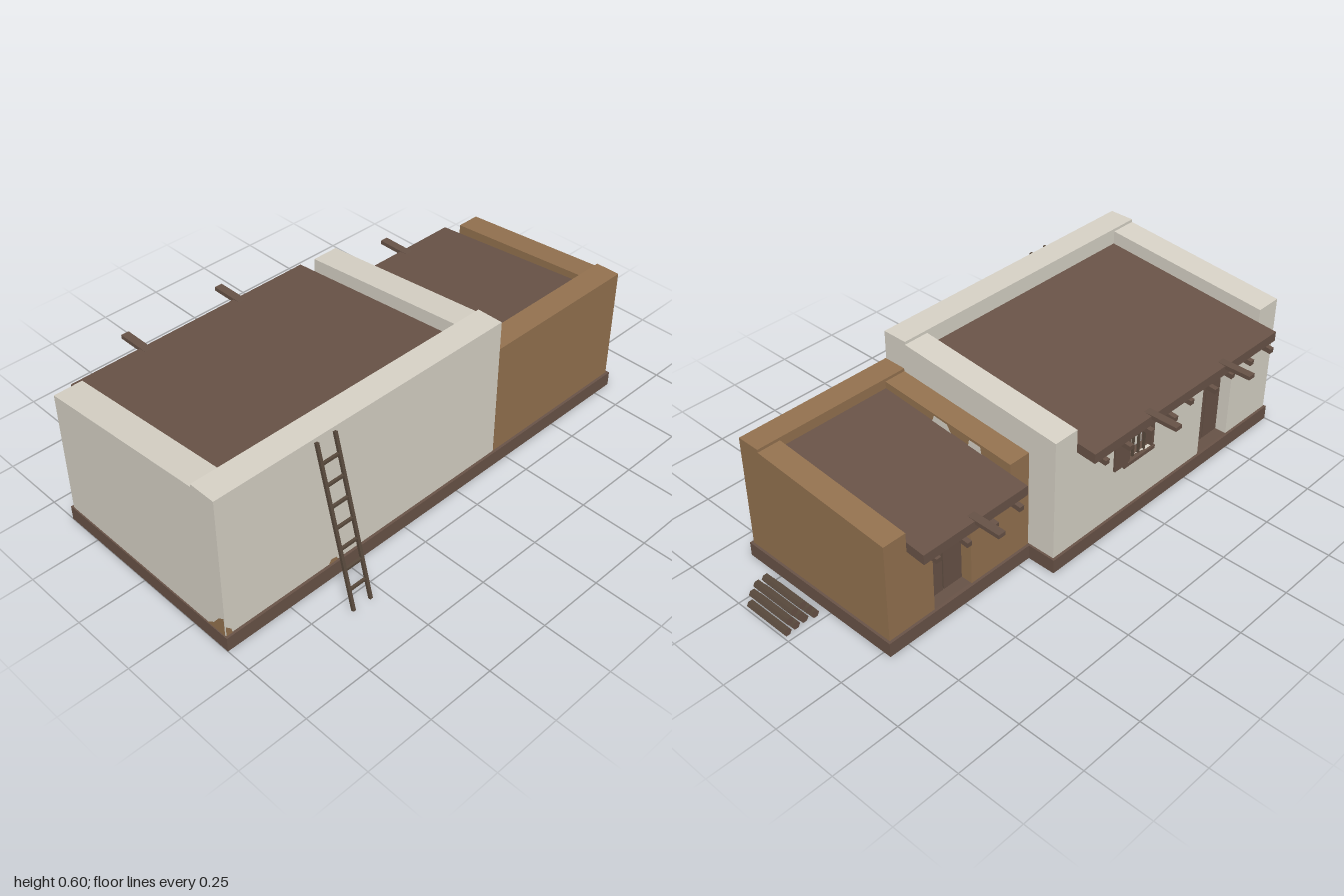
import * as THREE from 'three';

const mat = (name, color, side = THREE.FrontSide) => {
  const m = new THREE.MeshStandardMaterial({ color, side });
  m.name = name;
  return m;
};

export function createModel() {
  const model = new THREE.Group();
  model.name = 'adobeHouse';
  const plaster = mat('pale plaster', 0xd9d4c8, THREE.DoubleSide);
  const adobe = mat('brown adobe', 0x957350, THREE.DoubleSide);
  const earth = mat('dark earth', 0x6a5448);
  const wood = mat('dark wood', 0x594a3d);
  const beamWood = mat('beam wood', 0x685347);

  const add = (parent, name, geometry, material) => {
    const mesh = new THREE.Mesh(geometry, material);
    mesh.name = name;
    parent.add(mesh);
    return mesh;
  };
  // Box given by its limits on each axis
  const box = (parent, name, material, x0, x1, y0, y1, z0, z1) => {
    const mesh = add(parent, name, new THREE.BoxGeometry(x1 - x0, y1 - y0, z1 - z0), material);
    mesh.position.set((x0 + x1) / 2, (y0 + y1) / 2, (z0 + z1) / 2);
    return mesh;
  };
  // Side profile of [z, y] points, extruded from x0 to x1
  const prism = (parent, name, material, points, x0, x1) => {
    const shape = new THREE.Shape(points.map(([z, y]) => new THREE.Vector2(-z, y)));
    const g = new THREE.ExtrudeGeometry(shape, { depth: x1 - x0, bevelEnabled: false });
    g.rotateY(Math.PI / 2).translate(x0, 0, 0);
    return add(parent, name, g, material);
  };
  // Flat-sided pole between two points; four sides make a squared timber
  const pole = (parent, name, material, a, b, r, sides = 4) => {
    const p = new THREE.Vector3(...a), q = new THREE.Vector3(...b);
    const g = new THREE.CylinderGeometry(r, r, p.distanceTo(q), sides, 1, false, Math.PI / sides).toNonIndexed();
    g.clearGroups();
    g.addGroup(0, sides * 6, 0);
    g.addGroup(sides * 6, sides * 6, 1);
    g.computeVertexNormals();
    const mesh = add(parent, name, g, material);
    mesh.position.copy(p).add(q).multiplyScalar(0.5);
    mesh.quaternion.setFromUnitVectors(new THREE.Vector3(0, 1, 0), q.sub(p).normalize());
    return mesh;
  };

  const BASE = 0.055, FRONT = 0.395, T = 0.012, RING = 0.014;

  function house(o) {
    const g = new THREE.Group();
    g.name = o.name;
    model.add(g);
    const { x0, x1, back, top, wall } = o;
    const roofY = z => o.roofBack + (z - o.eave) * 0.093;
    const crown = [[FRONT, top], [o.inner, top], [o.inner, top - 0.011], [back, o.backTop]];

    // Foundation ring
    const b = back - 0.01, f = FRONT + 0.01;
    box(g, 'foundationFront', earth, o.fx0, o.fx1, 0, BASE, f - RING, f);
    box(g, 'foundationBack', earth, o.fx0, o.fx1, 0, BASE, b, b + RING);
    box(g, 'foundationRight', earth, o.fx0, o.fx0 + RING, 0, BASE, b, f);
    box(g, 'foundationLeft', earth, o.fx1 - RING, o.fx1, 0, BASE, b, f);

    // Front wall and side walls with sloping tops
    box(g, 'frontWall', wall, x0, x1, BASE, top, FRONT - T, FRONT);
    const side = [[FRONT, BASE], ...crown, [back, BASE]];
    o.sideWalls.forEach(x => prism(g, 'sideWall', wall, side, x, x + T));

    // Thick parapets around the roof
    const low = [[back, roofY(back) - 0.035], [FRONT, roofY(FRONT) - 0.035]];
    prism(g, 'sideParapet', wall, [...crown, ...low], x0, o.rx0);
    prism(g, 'sideParapet', wall, [...crown, ...low], o.rx1, x1);
    box(g, 'frontParapet', wall, o.rx0, o.rx1, roofY(o.inner) - 0.035, top, o.inner, FRONT);

    // Back wall with door notch and optional window hole
    const [d0, d1, dh] = o.door;
    const wt = roofY(back) - 0.03;
    const shape = new THREE.Shape([[x0, BASE], [d0, BASE], [d0, dh], [d1, dh], [d1, BASE],
      [x1, BASE], [x1, wt], [x0, wt]].map(p => new THREE.Vector2(...p)));
    if (o.window) {
      const [w0, w1, h0, h1] = o.window;
      shape.holes.push(new THREE.Path([[w0, h0], [w0, h1], [w1, h1], [w1, h0]].map(p => new THREE.Vector2(...p))));
    }
    const bw = new THREE.ExtrudeGeometry(shape, { depth: T, bevelEnabled: false });
    add(g, 'backWall', bw.translate(0, 0, back), wall);

    // Door recess with plank door and threshold
    const mid = (d0 + d1) / 2, leaf = back + 0.045, deep = back + 0.057;
    [d0 - 0.01, d1].forEach(x => box(g, 'doorJamb', wall, x, x + 0.01, BASE, dh, back + T, deep));
    box(g, 'doorHead', wall, d0 - 0.01, d1 + 0.01, dh, dh + 0.01, back + T, deep);
    box(g, 'threshold', beamWood, d0, d1, BASE - 0.01, BASE, back, deep);
    box(g, 'doorLeaf', beamWood, d0, mid - 0.003, BASE, dh, leaf, deep);
    box(g, 'doorLeaf', beamWood, mid + 0.003, d1, BASE, dh, leaf, deep);
    box(g, 'doorGap', wood, mid - 0.003, mid + 0.003, BASE, dh, leaf + 0.004, deep);

    // Sloping earth roof, rafters and water spouts
    prism(g, 'roof', earth, [[o.inner, roofY(o.inner)], [o.eave, o.roofBack],
      [o.eave, o.roofBack - 0.037], [o.inner, roofY(o.inner) - 0.037]], o.rx0, o.rx1);
    o.rafters.forEach(([x, z]) => pole(g, 'rafter', beamWood,
      [x, roofY(0.28) - 0.048, 0.28], [x, roofY(z) - 0.048, z], 0.0135));
    o.spouts.forEach(x => box(g, 'spout', beamWood, x - 0.015, x + 0.015,
      o.roofBack - 0.012, o.roofBack + 0.003, o.eave - 0.1, o.eave + 0.04));
    return g;
  }

  const main = house({
    name: 'mainHouse', x0: -0.995, x1: 0.192, fx0: -1, fx1: 0.2, back: -0.38, top: 0.598, backTop: 0.524,
    inner: 0.295, rx0: -0.89, rx1: 0.09, eave: -0.455, roofBack: 0.466, wall: plaster,
    sideWalls: [-0.995, 0.192 - T], door: [-0.755, -0.585, 0.385], window: [-0.3, -0.18, 0.25, 0.36],
    rafters: [-0.475, -0.47, -0.47, -0.482, -0.464, -0.482, -0.472, -0.475, -0.468].map((z, i) => [-0.845 + i * 0.111, z]),
    spouts: [-0.605, -0.205],
  });
  const annex = house({
    name: 'sideHouse', x0: 0.194, x1: 0.817, fx0: 0.195, fx1: 0.826, back: -0.27, top: 0.49, backTop: 0.434,
    inner: 0.303, rx0: 0.28, rx1: 0.728, eave: -0.345, roofBack: 0.392, wall: adobe,
    sideWalls: [0.817 - T], door: [0.46, 0.625, 0.32],
    rafters: [[0.33, -0.367], [0.443, -0.367], [0.56, -0.367], [0.675, -0.352]],
    spouts: [0.5],
  });
  // Pale lining inside the side house
  box(annex, 'innerLining', plaster, 0.2, 0.805, BASE, 0.4, FRONT - T - 0.004, FRONT - T);

  // Barred window with an open shutter and a pale recess
  const win = new THREE.Group();
  win.name = 'window';
  main.add(win);
  box(win, 'windowRecess', plaster, -0.3, -0.18, 0.25, 0.36, -0.338, -0.33);
  for (let i = 0; i < 3; i++) {
    const x = -0.27 + i * 0.03;
    pole(win, 'windowBar', wood, [x, 0.25, -0.372], [x, 0.36, -0.372], 0.0055);
  }
  box(win, 'windowSill', beamWood, -0.312, -0.15, 0.236, 0.25, -0.388, -0.34);
  box(win, 'windowLintel', beamWood, -0.312, -0.168, 0.355, 0.367, -0.384, -0.34);
  [-0.31, -0.182].forEach(x => box(win, 'windowJamb', beamWood, x, x + 0.012, 0.25, 0.357, -0.384, -0.34));
  box(win, 'shutter', beamWood, -0.168, -0.1, 0.25, 0.36, -0.388, -0.38);

  // Worn patches: [u, y] outlines laid on a wall
  const patch = (points, place, material = adobe) => {
    const g = new THREE.ShapeGeometry(new THREE.Shape(points.map(p => new THREE.Vector2(...p))));
    place(add(main, 'wornPatch', g, material));
  };
  const onFront = m => { m.position.z = FRONT + 0.002; };
  // A quarter turn lays the outline along z
  const onSide = x => m => { m.rotation.y = -Math.PI / 2; m.position.x = x; };
  patch([[-0.994, BASE], [-0.97, BASE], [-0.975, 0.075], [-0.994, 0.095]], onFront);
  patch([[-0.58, BASE], [-0.54, BASE], [-0.548, 0.07], [-0.57, 0.073]], onFront);
  [-0.997, -0.995 + T + 0.002].forEach(x =>
    patch([[0.31, BASE], [0.394, BASE], [0.394, 0.13], [0.37, 0.115], [0.345, 0.08]], onSide(x)));
  patch([[-0.02, 0.1], [0.02, 0.12], [0.06, 0.06], [0.12, 0.08], [0.17, 0.12], [0.14, 0.17],
    [0.06, 0.17], [0.03, 0.21], [-0.03, 0.2]], onSide(0.197));
  patch([[0.24, 0.35], [0.29, 0.34], [0.31, 0.38], [0.26, 0.4]], onSide(0.197));
  patch([[-0.01, 0.42], [0.08, 0.43], [0.07, 0.456], [0.01, 0.45]], onSide(0.282), plaster);
  patch([[-0.145, 0.41], [-0.085, 0.415], [-0.09, 0.44], [-0.14, 0.437]], onSide(0.282), plaster);

  // Leaning ladder
  const ladder = new THREE.Group();
  ladder.name = 'ladder';
  model.add(ladder);
  const ladderZ = y => 0.551 - y * 0.247;
  [-0.622, -0.549].forEach(x =>
    pole(ladder, 'ladderRail', wood, [x, 0.002, ladderZ(0)], [x, 0.59, ladderZ(0.59)], 0.0075));
  for (let i = 0; i < 7; i++) {
    const y = 0.077 + i * 0.0735;
    pole(ladder, 'ladderRung', wood, [-0.622, y, ladderZ(y)], [-0.549, y, ladderZ(y)], 0.0065);
  }

  // Stack of six-sided logs with lighter cut ends
  const logs = new THREE.Group();
  logs.name = 'logPile';
  model.add(logs);
  for (let row = 0; row < 3; row++) {
    for (let i = 0; i < 4 - row; i++) {
      const x = 0.872 + row * 0.019 + i * 0.0372, y = 0.0155 + row * 0.0295;
      const shift = ((i * 2 + row) % 3 - 1) * 0.004;
      pole(logs, 'log', [wood, beamWood], [x, y, 0.024 + shift], [x, y, 0.21 + shift], 0.0155, 6);
    }
  }
  return model;
}
